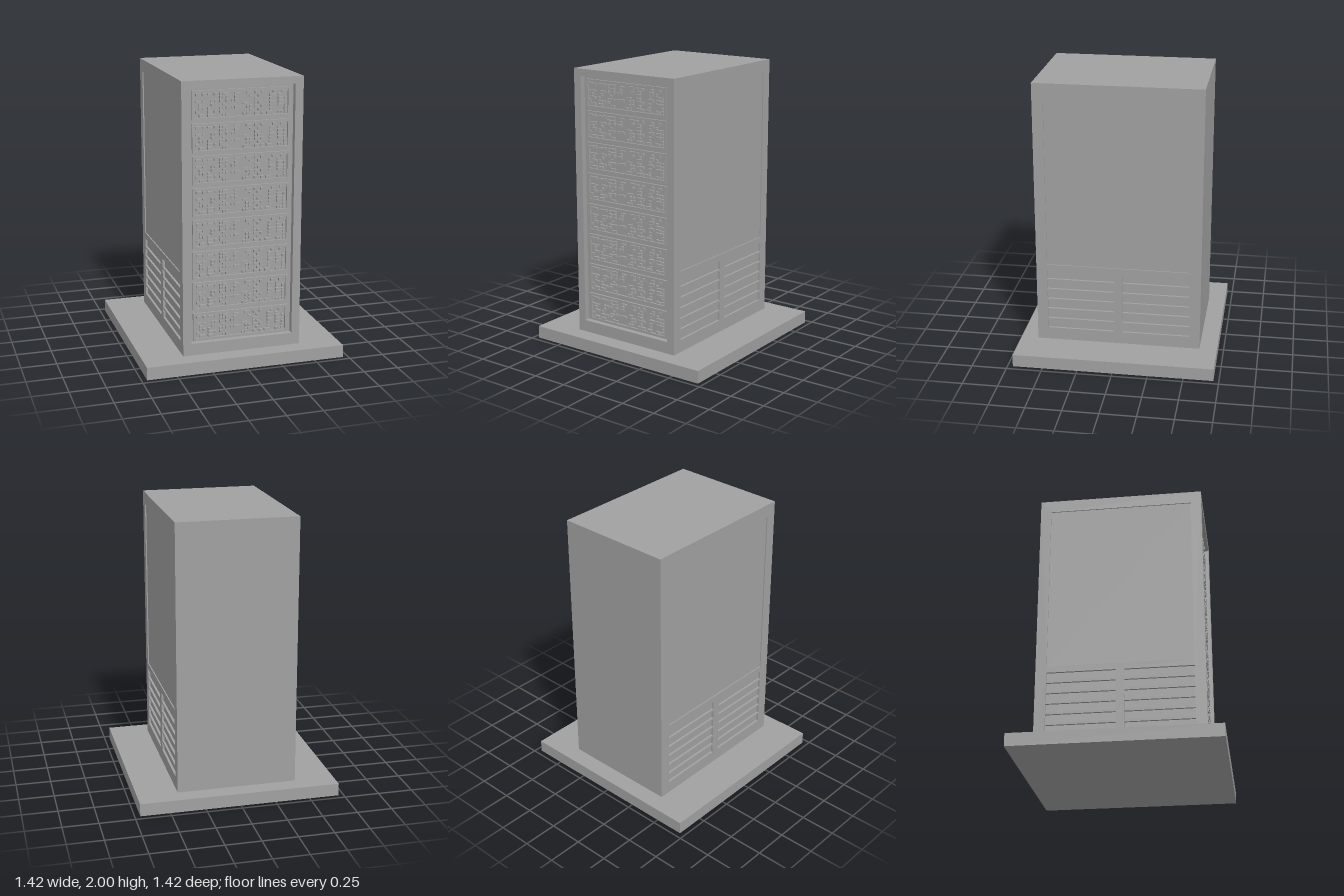
import * as THREE from 'three';
import { mergeGeometries } from 'three/addons/utils/BufferGeometryUtils.js';

const mat = new THREE.MeshStandardMaterial({ color: 0xa0a0a0 });
const W = 0.425, D = 0.587, BOTTOM = 0.09, TOP = 2; // cabinet half width, half depth, heights
const SIDE = 0.016, FRONT = 0.04; // wall thicknesses

const box = (x0, x1, y0, y1, z0, z1) =>
  new THREE.BoxGeometry(x1 - x0, y1 - y0, z1 - z0)
    .translate((x0 + x1) / 2, (y0 + y1) / 2, (z0 + z1) / 2);

function add(parent, name, geometry) {
  const mesh = new THREE.Mesh(geometry, mat);
  mesh.name = name;
  parent.add(mesh);
}

function trace(path, [x0, x1, y0, y1]) {
  path.moveTo(x0, y0);
  path.lineTo(x1, y0);
  path.lineTo(x1, y1);
  path.lineTo(x0, y1);
  path.closePath();
  return path;
}

// Flat plate with rectangular openings, extruded along +z
function plate(outer, holes, depth) {
  const shape = trace(new THREE.Shape(), outer);
  shape.holes = holes.map((h) => trace(new THREE.Path(), h));
  return new THREE.ExtrudeGeometry(shape, { depth, bevelEnabled: false });
}

function seeded(seed) {
  return () => (seed = (seed * 16807) % 2147483647) / 2147483647;
}

// Small chips in eight columns on one circuit board, centred on the origin
function chipGeometry() {
  const rand = seeded(90210);
  const chips = [];
  const cell = 0.0225, rows = 7;
  for (let c = 0; c < 8; c++) {
    const left = -0.32 + c * 0.082;
    for (let r = 0; r < rows; r++) {
      const y = (r - (rows - 1) / 2) * 0.0235;
      for (let k = 0; k < 3; k++) {
        if (rand() > 0.5) continue;
        const span = k < 2 && rand() < 0.4 ? 2 : 1;
        const h = rand() < 0.3 ? 0.009 : 0.018;
        const x = left + k * cell;
        chips.push(box(x, x + cell * span - 0.005, y - h / 2, y + h / 2, 0, 0.014 + rand() * 0.006));
        k += span - 1;
      }
    }
  }
  return mergeGeometries(chips);
}

export function createModel() {
  const model = new THREE.Group();
  model.name = 'serverCabinet';

  add(model, 'basePlinth', box(-0.712, 0.712, 0, BOTTOM, -0.712, 0.712));
  add(model, 'cabinetCore', box(-W + SIDE, W - SIDE, BOTTOM, TOP, -D, D - FRONT));

  // Front frame around the rack opening
  const frame = plate([-W + SIDE, W - SIDE, BOTTOM, TOP], [[-0.367, 0.367, 0.175, 1.95]], FRONT);
  add(model, 'frontFrame', frame.translate(0, 0, D - FRONT));

  // Side walls with a sunken panel above two banks of vent slots
  const panel = [-0.51, 0.51, 0.675, 1.91];
  const openings = [panel];
  for (let i = 0; i < 6; i++) {
    const y = 0.18 + i * 0.077;
    openings.push([-0.51, -0.03, y, y + 0.063], [0.03, 0.51, y, y + 0.063]);
  }
  for (const s of [1, -1]) {
    const wall = new THREE.Group();
    wall.name = s > 0 ? 'leftWall' : 'rightWall';
    add(wall, 'ventedWall', plate([-D, D, BOTTOM, TOP], openings, SIDE));
    add(wall, 'sunkenPanel', box(...panel, 0, 0.008));
    wall.rotation.y = s * Math.PI / 2;
    wall.position.x = s * (W - SIDE);
    model.add(wall);
  }

  // Stack of eight identical rack modules
  const rim = plate([-0.345, 0.345, -0.1, 0.1], [[-0.326, 0.326, -0.084, 0.084]], 0.014);
  const chips = chipGeometry();
  for (let i = 0; i < 8; i++) {
    const rack = new THREE.Group();
    rack.name = 'rackModule' + (i + 1);
    add(rack, 'moduleRim', rim);
    add(rack, 'circuitChips', chips);
    rack.position.set(0, 0.283 + i * 0.221, D - FRONT);
    model.add(rack);
  }
  return model;
}
